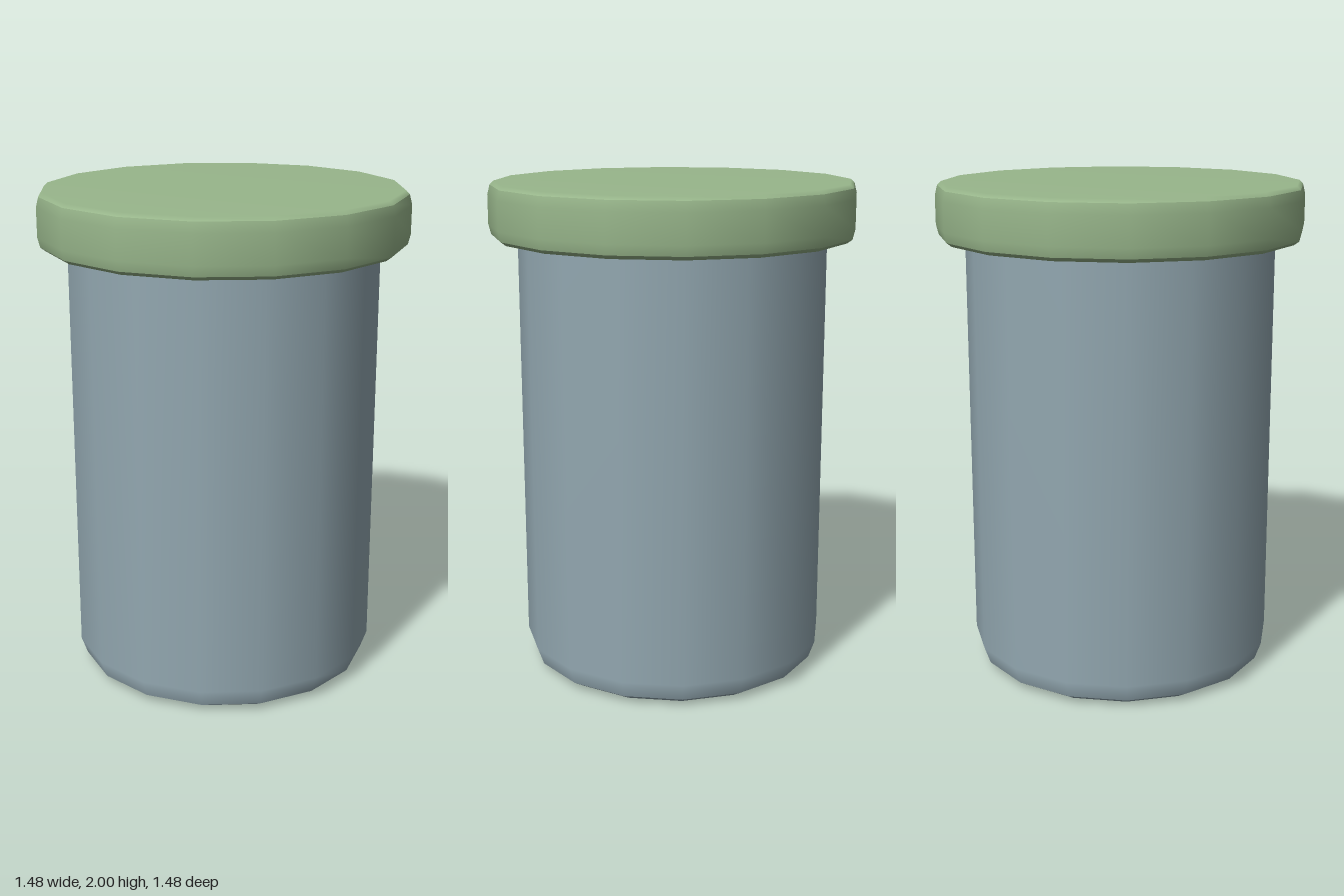
import * as THREE from 'three';

const SIDES = 16;

// Turns one smooth run of a profile; edges between runs stay sharp.
function turned(name, profile, material) {
  const points = profile.map(([r, y]) => new THREE.Vector2(r, y));
  const mesh = new THREE.Mesh(new THREE.LatheGeometry(points, SIDES), material);
  mesh.name = name;
  return mesh;
}

export function createModel() {
  const green = new THREE.MeshStandardMaterial({ color: 0x98b68b });
  green.name = 'lidGreen';
  const grey = new THREE.MeshStandardMaterial({ color: 0x93a8b1, side: THREE.DoubleSide });
  grey.name = 'bodyBlueGrey';

  // Hollow body, open at the bottom, with a chamfered foot
  const body = new THREE.Group();
  body.name = 'body';
  body.add(
    turned('footChamfer', [[0.55, 0], [0.6, 0.03]], grey),
    turned('bodyWall', [[0.6, 0.03], [0.625, 0.1], [0.625, 1.78]], grey),
  );

  // Wider lid with softened rims
  const lid = new THREE.Group();
  lid.name = 'lid';
  lid.add(
    turned('lidUnderside', [[0, 1.775], [0.71, 1.775], [0.73, 1.79]], green),
    turned('lidSide', [[0.73, 1.79], [0.74, 1.83], [0.74, 1.945], [0.73, 1.985]], green),
    turned('lidTop', [[0.73, 1.985], [0.715, 2], [0, 2]], green),
  );

  const model = new THREE.Group();
  model.name = 'liddedTube';
  model.add(body, lid);
  return model;
}
